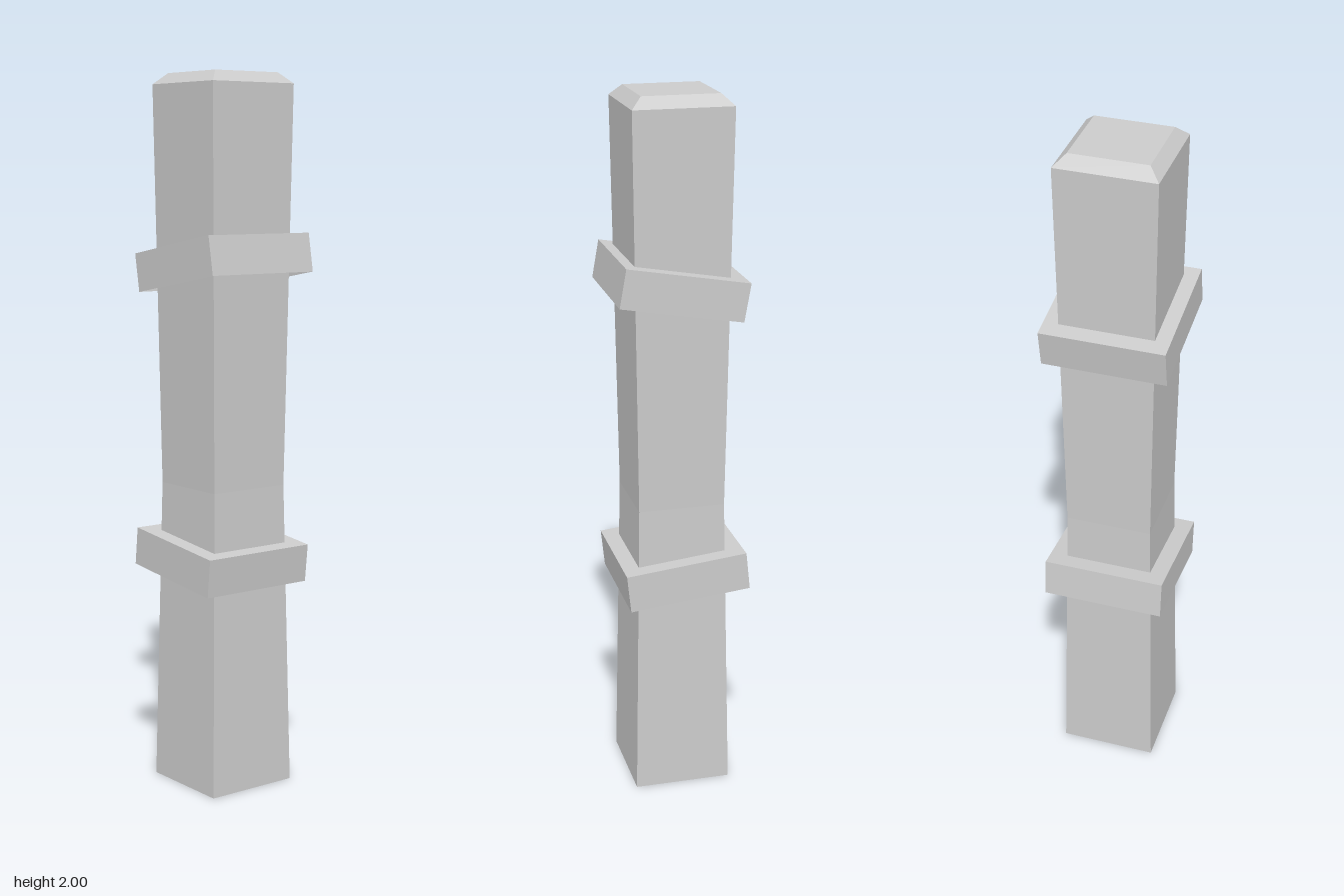
import * as THREE from 'three';

const material = new THREE.MeshStandardMaterial({
  color: 0xcccccc, flatShading: true, side: THREE.DoubleSide,
});

// Square shell through [y, halfWidth] sections, capped on top and open below
function squareShell(name, sections) {
  const positions = [];
  const index = [];
  for (const [y, h] of sections) {
    positions.push(-h, y, h, h, y, h, h, y, -h, -h, y, -h);
  }
  for (let s = 0; s < sections.length - 1; s++) {
    for (let i = 0; i < 4; i++) {
      const a = s * 4 + i;
      const b = s * 4 + (i + 1) % 4;
      index.push(a, b, b + 4, a, b + 4, a + 4);
    }
  }
  const t = (sections.length - 1) * 4;
  index.push(t, t + 1, t + 2, t, t + 2, t + 3);

  const geometry = new THREE.BufferGeometry();
  geometry.setAttribute('position', new THREE.Float32BufferAttribute(positions, 3));
  geometry.setIndex(index);
  geometry.computeVertexNormals();
  const mesh = new THREE.Mesh(geometry, material);
  mesh.name = name;
  return mesh;
}

// Tilted band wrapped around the post
function band(name, x, y, degrees) {
  const mesh = squareShell(name, [[-0.054, 0.173], [0.054, 0.173]]);
  mesh.position.set(x, y, 0);
  mesh.rotation.z = THREE.MathUtils.degToRad(degrees);
  return mesh;
}

export function createModel() {
  const model = new THREE.Group();
  model.name = 'post';

  // Slightly waisted shaft with a chamfered top
  model.add(squareShell('shaft', [[0, 0.138], [0.86, 0.122], [1.97, 0.138], [2, 0.107]]));

  model.add(band('upperBand', 0.003, 1.483, 10));
  model.add(band('lowerBand', -0.008, 0.654, -6));
  return model;
}
